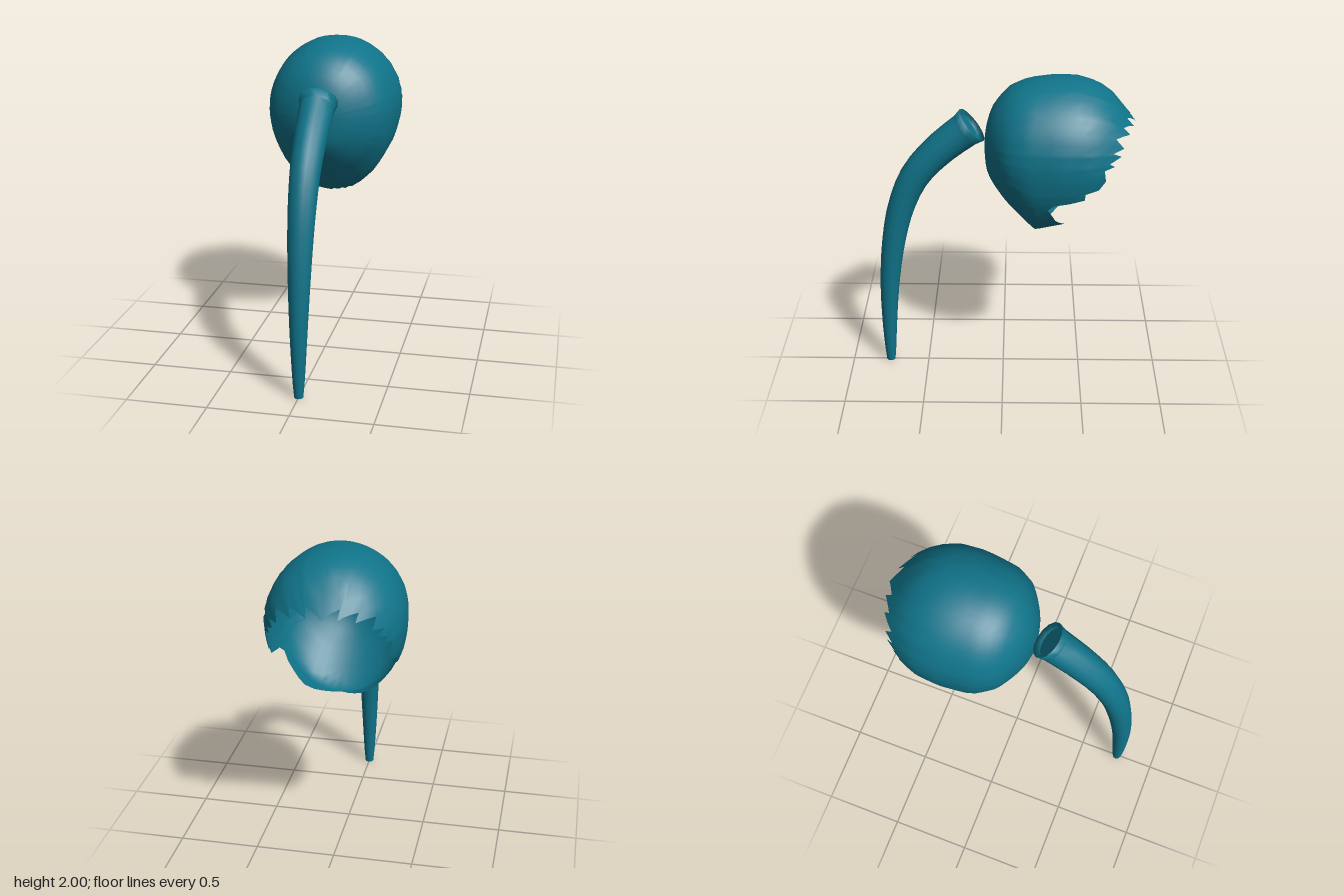
import * as THREE from 'three';
import { mergeVertices } from 'three/addons/utils/BufferGeometryUtils.js';

const hair = new THREE.MeshStandardMaterial({ color: 0x10748a, side: THREE.DoubleSide });
hair.name = 'teal hair';

// Smooth surface through a grid of points: columns[u][v]
function gridSurface(columns) {
  const rows = columns[0].length, index = [];
  for (let u = 0; u < columns.length - 1; u++) {
    for (let v = 0; v < rows - 1; v++) {
      const a = u * rows + v, b = a + rows;
      index.push(a, b, a + 1, b, b + 1, a + 1);
    }
  }
  const g = new THREE.BufferGeometry();
  g.setAttribute('position', new THREE.Float32BufferAttribute(columns.flat(2), 3));
  g.setIndex(index);
  const merged = mergeVertices(g, 1e-4);
  merged.computeVertexNormals();
  return merged;
}

// Cap profiles: distance from the front-to-back axis at each depth z
const POLE = 0.115, AXIS_Y = 1.57;
const side = [[0.115, 0], [0.1, 0.12], [0.05, 0.23], [-0.02, 0.33], [-0.13, 0.39], [-0.35, 0.42],
  [-0.5, 0.41], [-0.6, 0.37], [-0.7, 0.31], [-0.8, 0.21]];
const top = [[0.115, 0], [0.07, 0.23], [-0.04, 0.36], [-0.16, 0.41], [-0.32, 0.43], [-0.45, 0.425],
  [-0.57, 0.39], [-0.66, 0.33], [-0.72, 0.25], [-0.8, 0.16]];
const bottom = [[0.115, 0], [0.105, 0.15], [0.03, 0.29], [-0.08, 0.42], [-0.17, 0.52], [-0.2, 0.55],
  [-0.4, 0.5], [-0.6, 0.42], [-0.8, 0.2]];

function radiusAt(profile, z) {
  const s = (d) => Math.sqrt(Math.max(0, POLE - d));
  for (let i = 1; i < profile.length; i++) {
    const [z0, r0] = profile[i - 1], [z1, r1] = profile[i];
    if (z >= z1 - 1e-9) return r0 + (r1 - r0) * (s(z) - s(z0)) / (s(z1) - s(z0));
  }
  return profile[profile.length - 1][1];
}

// Jagged hairline: angle from the crown in degrees, depth z
const hairline = [[0, -0.8], [21, -0.74], [24, -0.785], [42, -0.715], [47, -0.755], [61, -0.665],
  [69, -0.715], [76, -0.65], [79, -0.7], [86, -0.63], [90, -0.66], [91.5, -0.6], [102, -0.61],
  [109, -0.57], [110, -0.49], [116, -0.49], [117, -0.4], [118, -0.31], [122, -0.27], [130, -0.3],
  [138, -0.32], [152, -0.38], [160, -0.36], [180, -0.24]];

function capGeometry() {
  const half = [];
  hairline.forEach(([a, z], i) => {
    half.push([a, z]);
    const next = hairline[i + 1];
    if (!next) return;
    const n = Math.ceil((next[0] - a) / 8);
    for (let k = 1; k < n; k++) half.push([a + (next[0] - a) * k / n, z + (next[1] - z) * k / n]);
  });
  const mirrored = half.slice(0, -1).reverse().map(([a, z]) => [360 - a, z]);
  return gridSurface([...half, ...mirrored].map(([deg, rim]) => {
    const a = THREE.MathUtils.degToRad(deg), column = [];
    for (let i = 0; i <= 18; i++) {
      const z = POLE - (POLE - rim) * (1 - Math.cos(i / 18 * Math.PI / 2));
      const height = radiusAt(Math.cos(a) >= 0 ? top : bottom, z);
      column.push([radiusAt(side, z) * Math.sin(a), AXIS_Y + height * Math.cos(a), z]);
    }
    return column;
  }));
}

// Ponytail: round sections swept along a curve, from the tip to the root
const tailPath = new THREE.CatmullRomCurve3([[0, 0.753], [0.3, 0.75], [0.6, 0.735], [0.9, 0.698],
  [1.15, 0.64], [1.36, 0.545], [1.53, 0.395], [1.695, 0.19]].map(([y, z]) => new THREE.Vector3(0, y, z)));
const tailRadius = (t) => 0.028 + 0.082 * Math.pow(t, 0.75);

function sweep(sections, sides) {
  const columns = [];
  for (let k = 0; k <= sides; k++) {
    const a = (k % sides) / sides * Math.PI * 2;
    columns.push(sections.map(([t, r]) => {
      const p = tailPath.getPointAt(t), d = tailPath.getTangentAt(t);
      const c = r * Math.cos(a), s = r * Math.sin(a);
      // keep the tip flat on the ground
      return [c, t === 0 ? 0 : p.y + d.z * s, p.z - d.y * s];
    }));
  }
  return gridSurface(columns);
}

export function createModel() {
  const model = new THREE.Group();
  model.name = 'hair';
  const add = (name, geometry) => {
    const mesh = new THREE.Mesh(geometry, hair);
    mesh.name = name;
    model.add(mesh);
  };

  add('hairCap', capGeometry());

  const strand = [];
  for (let i = 0; i <= 20; i++) strand.push([i / 20 * 0.97, tailRadius(i / 20 * 0.97)]);
  add('ponytail', sweep(strand, 14));
  add('ponytailTip', sweep([[0, 0], [0, tailRadius(0)]], 14));
  // flared lip and sunken end at the root
  add('ponytailLip', sweep([[0.97, tailRadius(0.97)], [1, 0.121], [0.985, 0.095]], 14));
  add('ponytailRoot', sweep([[0.985, 0.095], [0.985, 0]], 14));
  return model;
}
